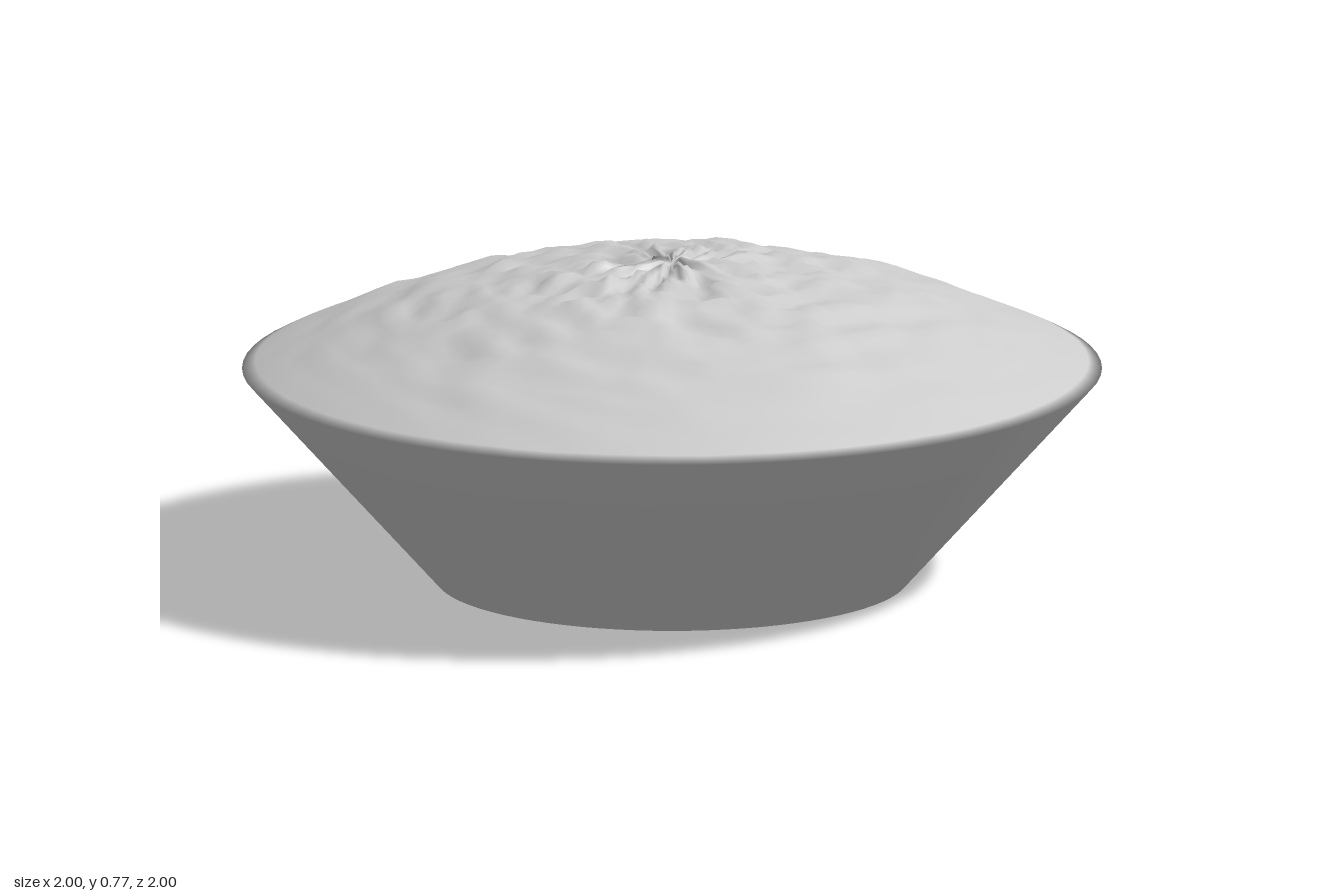
import * as THREE from 'three';
import { mergeVertices } from 'three/addons/utils/BufferGeometryUtils.js';

const SEGMENTS = 80;
const RINGS = 32;
const BASE_RADIUS = 0.55;
const RIM_HEIGHT = 0.5;
const DOME_HEIGHT = 0.25;
const ROUGHNESS = 0.028;

// Repeatable noise in -1..1 for one grid point of the mound
function hash(i, j) {
  const s = Math.sin(i * 127.1 + j * 311.7 + 5.3) * 43758.5453;
  return 2 * (s - Math.floor(s)) - 1;
}

// Noise softened with its neighbours, wrapping around the seam
function bump(i, j) {
  const col = (k) => (k + SEGMENTS) % SEGMENTS;
  const at = (a, b) => hash(col(a), b);
  return 0.5 * at(i, j) + 0.2 * (at(i - 1, j) + at(i + 1, j)) + 0.2 * (at(i, j - 1) + at(i, j + 1));
}

export function createModel() {
  const group = new THREE.Group();
  group.name = 'bowlWithMound';
  const grey = new THREE.MeshStandardMaterial({ color: 0xcccccc, side: THREE.DoubleSide });
  grey.name = 'lightGrey';

  // Profile: open foot, flared wall, then the dome from rim to centre
  const profile = [new THREE.Vector2(BASE_RADIUS, 0)];
  for (let j = 0; j <= RINGS; j++) {
    const r = 1 - j / RINGS;
    profile.push(new THREE.Vector2(r, RIM_HEIGHT + DOME_HEIGHT * (1 - r * r)));
  }
  let geometry = new THREE.LatheGeometry(profile, SEGMENTS);

  // Roughen the dome, calm at the rim and strongest toward the centre
  const pos = geometry.attributes.position;
  for (let i = 0; i <= SEGMENTS; i++) {
    for (let j = 1; j < RINGS; j++) {
      const r = 1 - j / RINGS;
      const index = i * profile.length + j + 1;
      pos.setY(index, pos.getY(index) + ROUGHNESS * Math.pow(1 - r, 0.8) * bump(i, j));
    }
  }

  // Weld the seam and pole so the shading runs smoothly over the rim
  geometry.deleteAttribute('normal');
  geometry.deleteAttribute('uv');
  geometry = mergeVertices(geometry, 1e-4);
  geometry.computeVertexNormals();

  const shell = new THREE.Mesh(geometry, grey);
  shell.name = 'flaredShellWithRoughDome';
  group.add(shell);
  return group;
}
